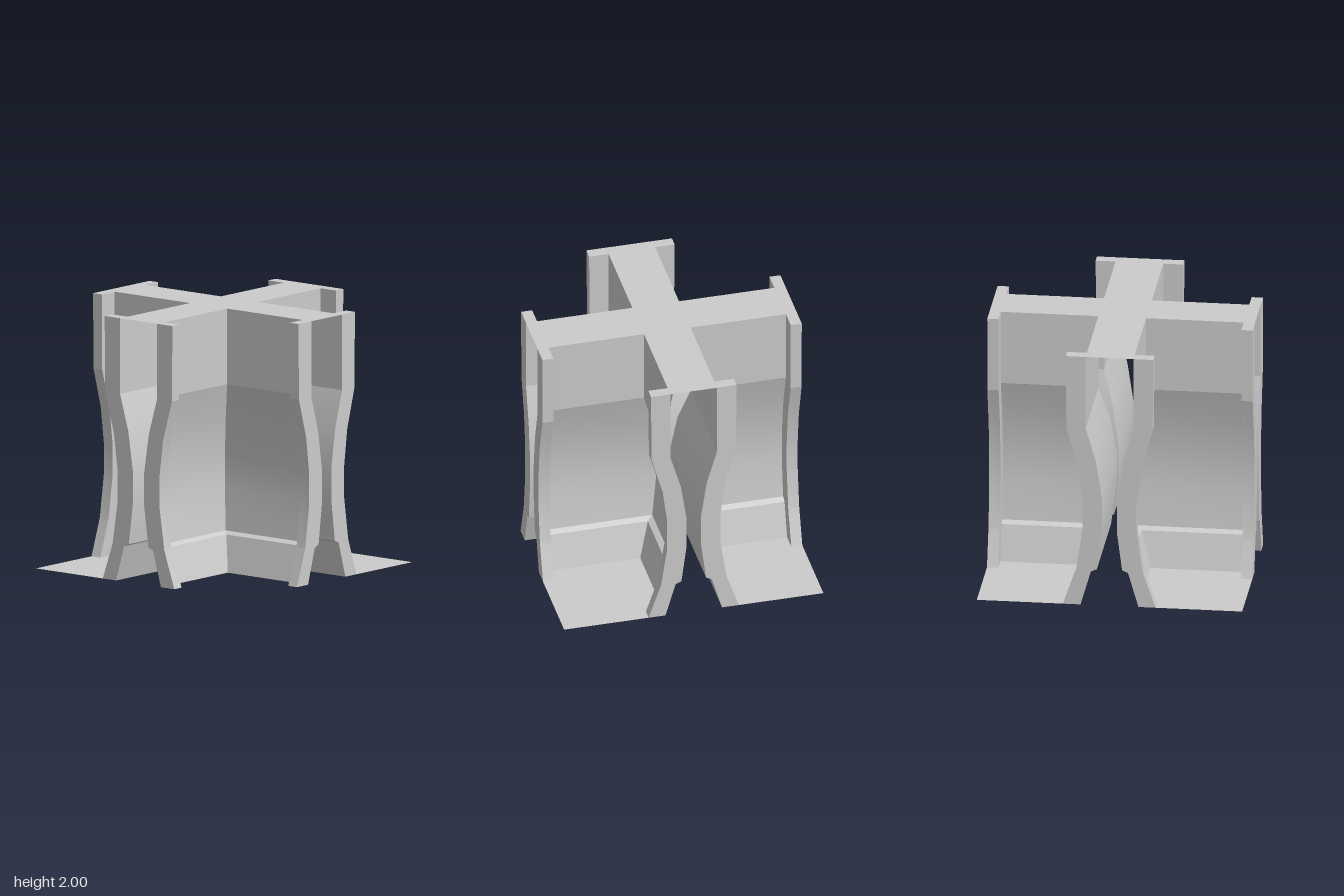
import * as THREE from 'three';
import { toCreasedNormals } from 'three/addons/utils/BufferGeometryUtils.js';

const material = new THREE.MeshStandardMaterial({ color: 0xcccccc, side: THREE.DoubleSide });

// Distance from the centre plane against height: inner wall and outer flange edge
const WALL = [[0.18, 2], [0.18, 1.425], [0.1, 1.15], [0.055, 0.85], [0.055, 0.6], [0.095, 0.29], [0.14, 0.27], [0.218, 0]];
const RIM = [[0.33, 2], [0.325, 1.425], [0.24, 1.12], [0.205, 0.85], [0.205, 0.6], [0.25, 0.29], [0.257, 0.265], [0.348, 0]];
const INNER = 0.915; // where the end flanges begin
const END = 1;

// Ribbon between two polylines running downwards, left and right as seen from outside
function ribbon(name, left, right) {
  const pos = [];
  for (let i = 0; i < left.length - 1; i++) {
    const [a, b, c, d] = [left[i], left[i + 1], right[i + 1], right[i]];
    pos.push(...a, ...b, ...c, ...a, ...c, ...d);
  }
  const geo = new THREE.BufferGeometry();
  geo.setAttribute('position', new THREE.Float32BufferAttribute(pos, 3));
  const mesh = new THREE.Mesh(toCreasedNormals(geo, 0.21), material);
  mesh.name = name;
  return mesh;
}

// Flat horizontal plate from an [x, z] outline
function plate(name, outline, y) {
  const shape = new THREE.Shape(outline.map(([x, z]) => new THREE.Vector2(x, -z)));
  const geo = new THREE.ShapeGeometry(shape);
  geo.rotateX(-Math.PI / 2);
  const mesh = new THREE.Mesh(geo, material);
  mesh.name = name;
  mesh.position.y = y;
  return mesh;
}

// Profile placed at a fixed z; with z left out it follows the corner diagonal
const at = (profile, z) => profile.map(([x, y]) => [x, y, z ?? x]);
const swap = (line) => line.map(([x, y, z]) => [z, y, x]);

// One corner: two curved walls meeting at the centre, each with an end flange
function corner() {
  const group = new THREE.Group();
  const parts = [
    ['wall', at(WALL, END), at(WALL)],
    ['flangeFront', at(WALL, END), at(RIM, END)],
    ['flangeEdge', at(RIM, END), at(RIM, INNER)],
    ['flangeBack', at(RIM, INNER), at(WALL, INNER)],
  ];
  for (const [name, left, right] of parts) {
    group.add(ribbon(name + 'A', left, right));
    group.add(ribbon(name + 'B', swap(right), swap(left)));
  }
  return group;
}

export function createModel() {
  const model = new THREE.Group();
  model.name = 'crossingWalls';

  // Four corners, three of them with a floor
  const w = WALL.at(-1)[0], r = RIM.at(-1)[0];
  const floor = [[w, w], [w, INNER], [r, INNER], [r, END], [END, END], [END, r], [INNER, r], [INNER, w]];
  for (let k = 0; k < 4; k++) {
    const quarter = corner();
    quarter.name = 'corner' + (k + 1);
    if (k < 3) quarter.add(plate('floor', floor, 0));
    quarter.rotation.y = k * Math.PI / 2;
    model.add(quarter);
  }

  // Cross-shaped top cap with a T at each end
  const t = WALL[0][0], f = RIM[0][0];
  const arm = [[t, t], [t, INNER], [f, INNER], [f, END], [-f, END], [-f, INNER], [-t, INNER]];
  const cap = [];
  let turned = arm;
  for (let k = 0; k < 4; k++) {
    cap.push(...turned);
    turned = turned.map(([x, z]) => [-z, x]);
  }
  model.add(plate('topCap', cap, 2));
  return model;
}
